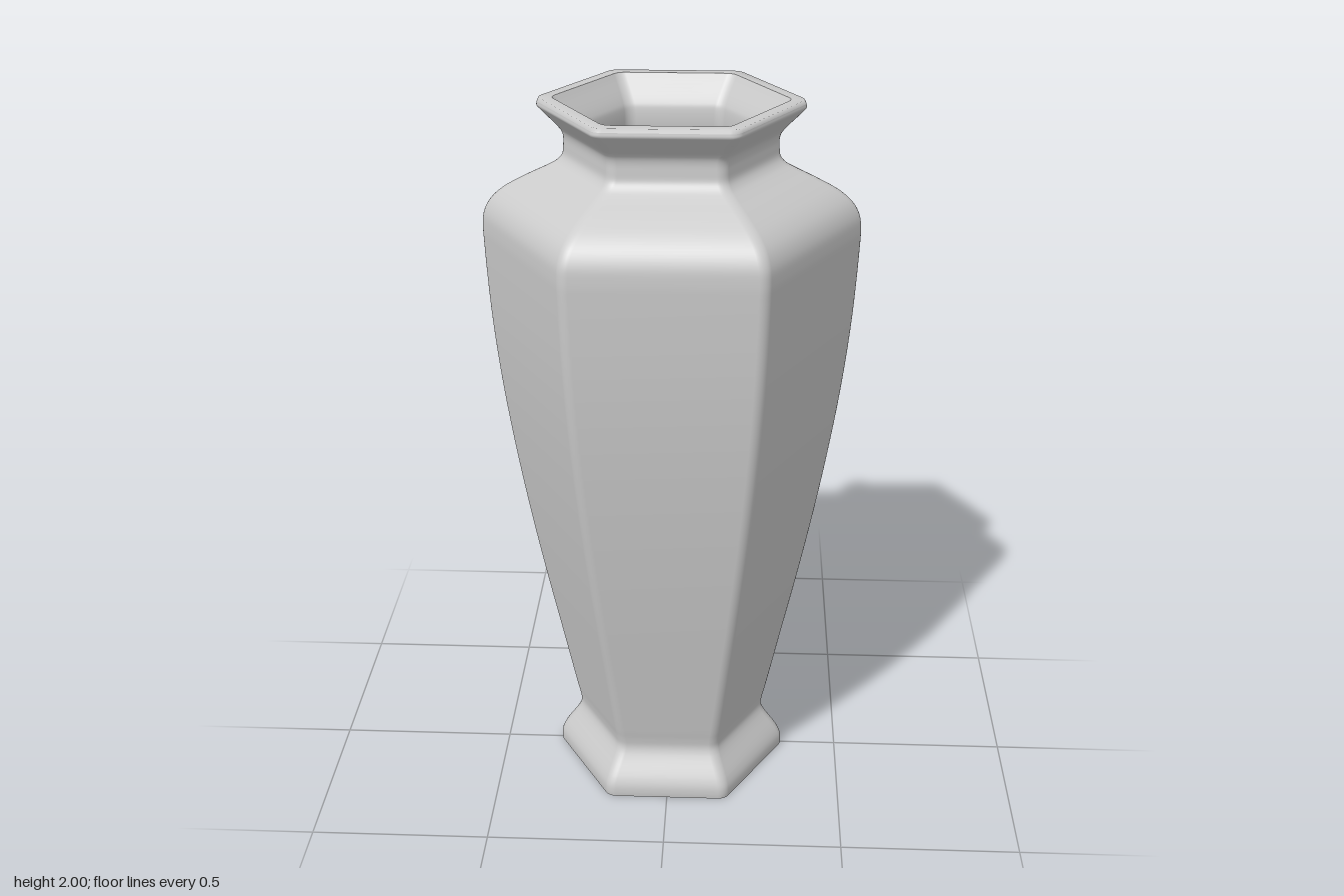
import * as THREE from 'three';

const SIDES = 6, ARC = 5;
const HALF = Math.PI / SIDES;

// One horizontal hexagon with rounded corners: flat distance ap, corner radius r
function ring(ap, y, r) {
  r = Math.min(r, ap);
  const pts = [];
  for (let k = 0; k < SIDES; k++) {
    const c = (2 * k + 1) * HALF;
    const d = (ap - r) / Math.cos(HALF);
    for (let i = 0; i <= ARC; i++) {
      const a = c - HALF + (2 * HALF * i) / ARC;
      pts.push(d * Math.sin(c) + r * Math.sin(a), y, d * Math.cos(c) + r * Math.cos(a));
    }
  }
  return pts;
}

// Skin through stacked rings; rows are [flat distance, height, corner radius]
function shell(rows) {
  const n = SIDES * (ARC + 1), pos = [], index = [];
  rows.forEach(([ap, y, r]) => pos.push(...ring(ap, y, r)));
  for (let i = 0; i < rows.length - 1; i++) {
    for (let j = 0; j < n; j++) {
      const a = i * n + j, b = i * n + (j + 1) % n;
      index.push(a, b, b + n, a, b + n, a + n);
    }
  }
  const g = new THREE.BufferGeometry();
  g.setAttribute('position', new THREE.Float32BufferAttribute(pos, 3));
  g.setIndex(index);
  g.computeVertexNormals();
  return g;
}

// Smooth curve through the profile rows
function smooth(rows, count) {
  const curve = new THREE.CatmullRomCurve3(rows.map(p => new THREE.Vector3(...p)), false, 'centripetal');
  return curve.getPoints(count).map(p => [p.x, p.y, Math.max(p.z, 0.002)]);
}

export function createModel() {
  const vase = new THREE.Group();
  vase.name = 'vase';
  const material = new THREE.MeshStandardMaterial({ color: 0xcccccc, side: THREE.DoubleSide });
  const add = (name, rows) => {
    const mesh = new THREE.Mesh(shell(rows), material);
    mesh.name = name;
    vase.add(mesh);
  };
  const R = 0.035;

  // Outside: flared foot, swelling body, shoulder, neck and flared lip
  add('outerWall', smooth([
    [0.294, 0, R], [0.295, 0.015, R], [0.293, 0.035, R], [0.283, 0.06, R],
    [0.248, 0.118, R], [0.241, 0.14, R], [0.243, 0.165, R], [0.25, 0.2, R],
    [0.287, 0.4, R], [0.324, 0.6, R], [0.358, 0.8, R], [0.388, 1.0, R],
    [0.413, 1.2, R], [0.431, 1.4, R], [0.441, 1.6, R], [0.442, 1.65, R],
    [0.438, 1.69, R], [0.422, 1.725, R], [0.393, 1.755, R], [0.343, 1.787, R],
    [0.287, 1.818, R], [0.265, 1.833, R], [0.253, 1.85, R], [0.25, 1.875, R],
    [0.25, 1.9, R], [0.256, 1.917, R], [0.3, 1.969, R], [0.308, 1.98, R], [0.307, 1.99, R],
  ], 120));

  // Top of the lip
  add('rim', [[0.307, 1.99, R], [0.303, 2, R], [0.272, 2, R]]);

  // Hollow inside, following the outside at the wall thickness
  add('innerWall', smooth([
    [0.272, 2, R], [0.262, 1.985, R], [0.228, 1.935, R], [0.22, 1.915, R],
    [0.22, 1.85, R], [0.235, 1.815, R], [0.33, 1.75, R], [0.385, 1.71, R],
    [0.402, 1.65, R], [0.391, 1.4, R], [0.348, 1.0, R], [0.284, 0.6, R],
    [0.247, 0.4, 0.02], [0.195, 0.17, 0.002],
  ], 80));
  add('innerFloor', [[0.195, 0.17, 0.002], [0, 0.17, 0]]);

  // Recess under the foot
  add('footEdge', [[0.265, 0, R], [0.294, 0, R]]);
  add('footRecess', smooth([
    [0.18, 0.13, 0.01], [0.215, 0.095, 0.02], [0.255, 0.035, R], [0.265, 0, R],
  ], 16));
  add('footUnderside', [[0, 0.13, 0], [0.18, 0.13, 0.01]]);

  return vase;
}
